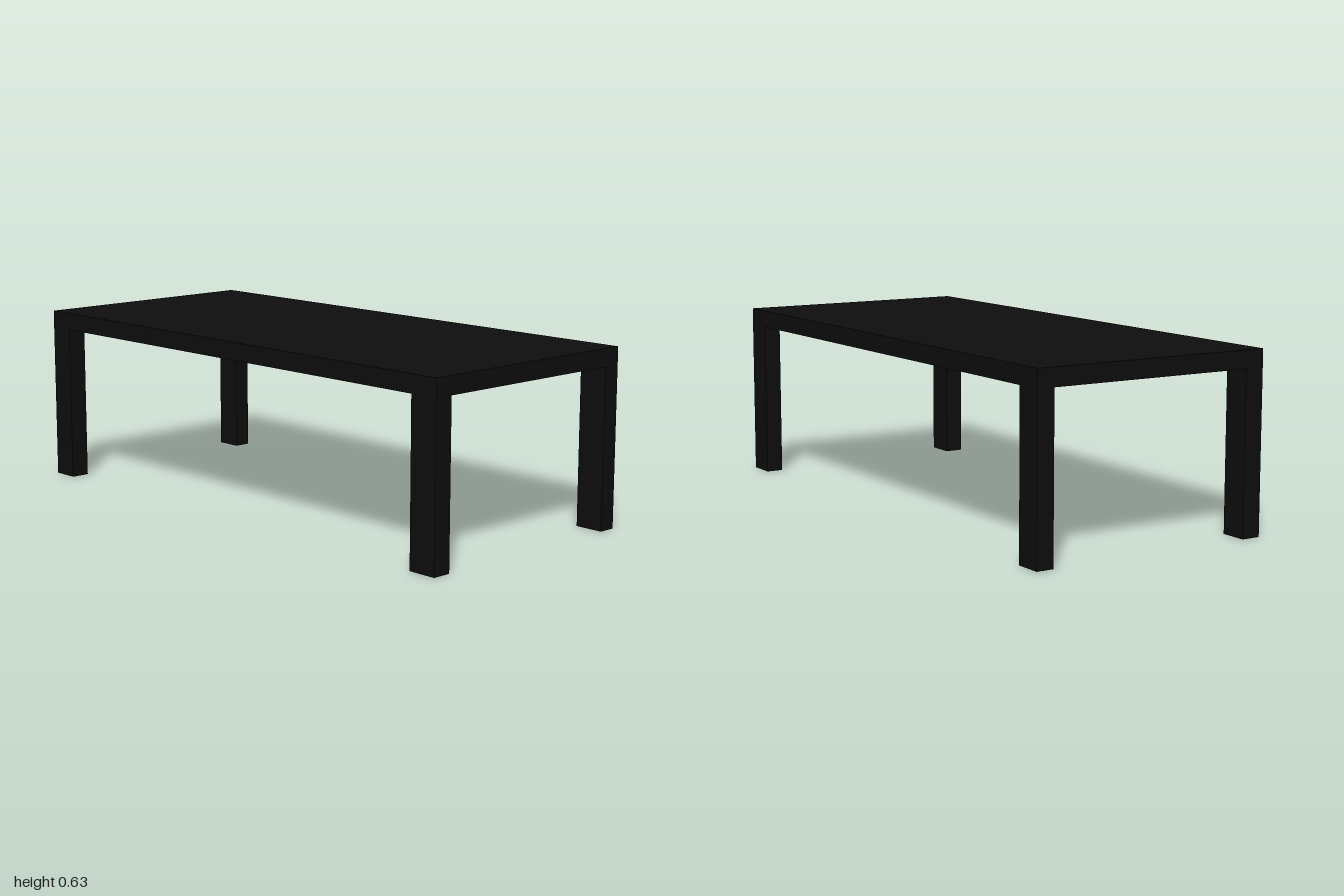
import * as THREE from 'three';

const HALF_W = 0.444, HALF_L = 1, HEIGHT = 0.632, SLAB = 0.063;

export function createModel() {
  const table = new THREE.Group();
  table.name = 'table';
  const black = new THREE.MeshStandardMaterial({ color: 0x0d0d0d });

  const addBox = (name, w, h, d, x, y, z) => {
    const mesh = new THREE.Mesh(new THREE.BoxGeometry(w, h, d), black);
    mesh.name = name;
    mesh.position.set(x, y, z);
    table.add(mesh);
  };

  // Flat slab top
  addBox('tableTop', HALF_W * 2, SLAB, HALF_L * 2, 0, HEIGHT - SLAB / 2, 0);

  // Four corner legs, flush with the slab's edges; right and front ones slightly thicker
  const legHeight = HEIGHT - SLAB;
  for (const [side, sx, w] of [['Left', 1, 0.063], ['Right', -1, 0.069]]) {
    for (const [end, sz, d] of [['front', 1, 0.106], ['back', -1, 0.098]]) {
      addBox(`${end}${side}Leg`, w, legHeight, d,
        sx * (HALF_W - w / 2), legHeight / 2, sz * (HALF_L - d / 2));
    }
  }
  return table;
}
